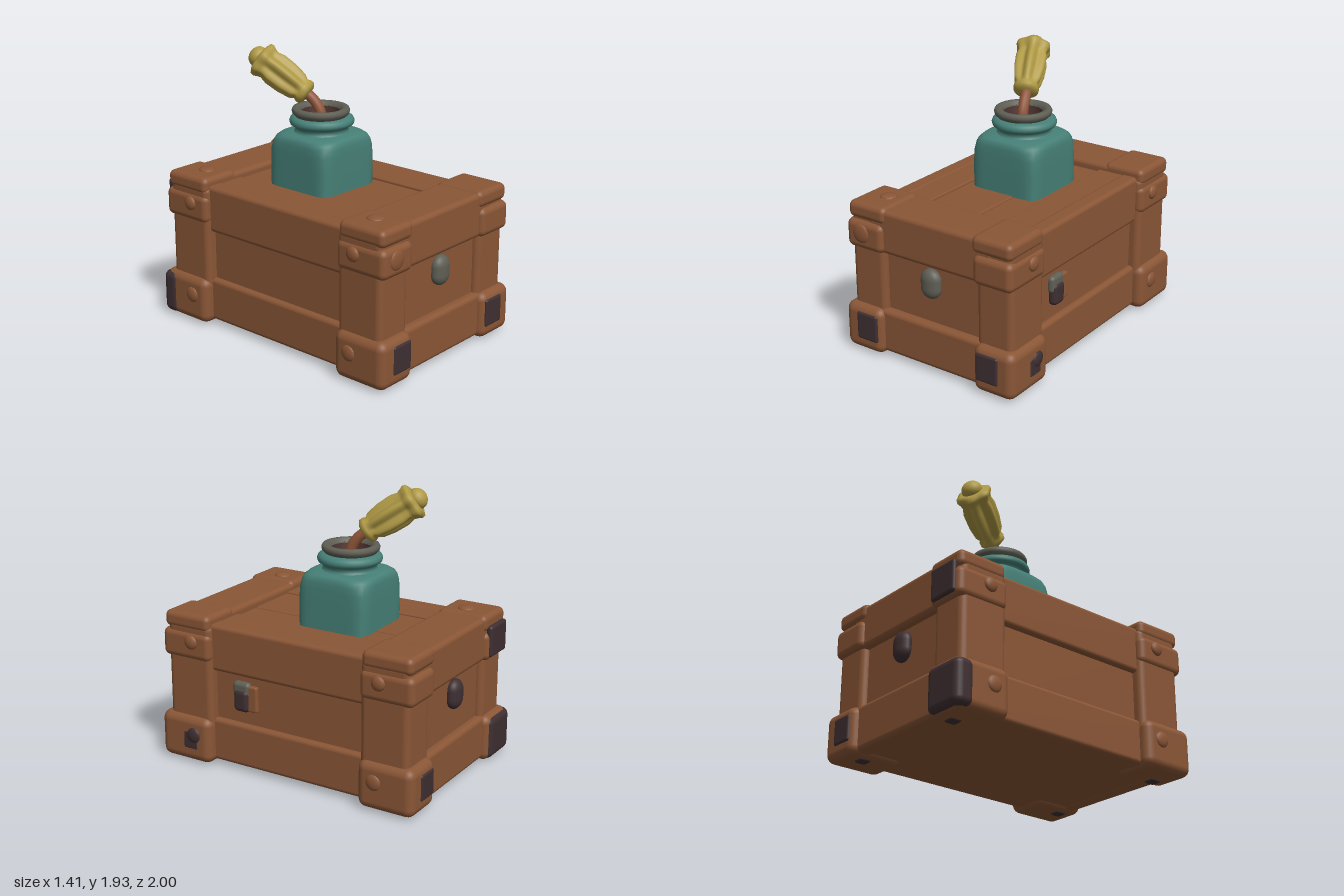
import * as THREE from 'three';
import { RoundedBoxGeometry } from 'three/addons/geometries/RoundedBoxGeometry.js';

const mat = (name, color, side = THREE.FrontSide) => {
  const m = new THREE.MeshStandardMaterial({ color, side });
  m.name = name;
  return m;
};

export function createModel() {
  const wood = mat('brown wood', 0x8a5636);
  const dark = mat('dark iron', 0x3f2f32);
  const grey = mat('grey metal', 0x5f5f55);
  const teal = mat('teal glass', 0x468077);
  const yellow = mat('yellow handle', 0xb09a45);
  const inside = mat('dark interior', 0x4c332f);
  const shaftMat = mat('copper shaft', 0x8f5539);

  const model = new THREE.Group();
  model.name = 'crateWithBottle';

  const add = (parent, name, geo, material, x = 0, y = 0, z = 0) => {
    const m = new THREE.Mesh(geo, material);
    m.name = name;
    m.position.set(x, y, z);
    parent.add(m);
    return m;
  };
  // Soft-edged box given by its limits
  const box = (parent, name, material, x0, x1, y0, y1, z0, z1, r = 0.03) => {
    const w = x1 - x0, h = y1 - y0, d = z1 - z0;
    const rr = Math.min(r, w * 0.49, h * 0.49, d * 0.49);
    return add(parent, name, new RoundedBoxGeometry(w, h, d, 3, rr), material,
      (x0 + x1) / 2, (y0 + y1) / 2, (z0 + z1) / 2);
  };
  // Skin over horizontal rings: point(ring, angle) gives [x, z]
  const loft = (rings, point, n = 64) => {
    const pos = [], idx = [];
    rings.forEach((ring, i) => {
      for (let j = 0; j < n; j++) {
        const [x, z] = point(ring, (j / n) * Math.PI * 2);
        pos.push(x, ring[0], z);
        if (i === rings.length - 1) continue;
        const a = i * n + j, b = i * n + (j + 1) % n;
        idx.push(a, a + n, b, a + n, b + n, b);
      }
    });
    const g = new THREE.BufferGeometry();
    g.setAttribute('position', new THREE.Float32BufferAttribute(pos, 3));
    g.setIndex(idx);
    g.computeVertexNormals();
    return g;
  };
  const lathe = (pts) => new THREE.LatheGeometry(pts.map((p) => new THREE.Vector2(...p)), 40);
  // Flattened dome facing out along a direction
  const stud = (parent, name, material, p, dir, r, depth) => {
    const g = new THREE.SphereGeometry(1, 16, 10);
    const m = add(parent, name, g, material, ...p);
    m.scale.set(r, r, depth);
    m.lookAt(p[0] + dir[0], p[1] + dir[1], p[2] + dir[2]);
    return m;
  };

  // ---- Crate ----
  const crate = new THREE.Group();
  crate.name = 'crate';
  model.add(crate);
  box(crate, 'crateCore', wood, -0.57, 0.57, 0.04, 0.96, -0.89, 0.89);
  // Lid planks
  [[-0.6, -0.3, 1.0], [-0.298, 0.088, 0.99], [0.09, 0.298, 0.985], [0.3, 0.6, 1.0]].forEach(([a, b, top]) =>
    box(crate, 'lidPlank', wood, a, b, 0.9, top, -0.85, 0.85, 0.012));

  for (const s of [-1, 1]) {
    const span = (a, b) => (s > 0 ? [a, b] : [-b, -a]);
    // Long side rails
    box(crate, 'sideTopRail', wood, ...span(0.48, 0.61), 0.68, 1.005, -0.85, 0.85);
    box(crate, 'sideBottomRail', wood, ...span(0.48, 0.61), 0.035, 0.34, -0.85, 0.85);
    // End rails
    box(crate, 'endTopRail', wood, -0.5, 0.5, 0.74, 1.045, ...span(0.59, 0.94), 0.035);
    box(crate, 'endBottomRail', wood, -0.5, 0.5, 0.03, 0.34, ...span(0.82, 0.945), 0.035);
    for (const t of [-1, 1]) {
      // Corner posts with caps
      const zs = (a, b) => (t > 0 ? [a, b] : [-b, -a]);
      box(crate, 'cornerPost', wood, ...span(0.37, 0.645), 0.03, 1.0, ...zs(0.58, 0.935), 0.045);
      box(crate, 'topCapLower', wood, ...span(0.36, 0.66), 0.74, 0.94, ...zs(0.58, 0.97), 0.045);
      box(crate, 'topCapUpper', wood, ...span(0.345, 0.65), 0.945, 1.06, ...zs(0.59, 0.955), 0.04);
      box(crate, 'bottomCap', wood, ...span(0.37, 0.685), 0.012, 0.34, ...zs(0.58, 0.99), 0.06);
      box(crate, 'footPad', dark, ...span(0.42, 0.5), 0, 0.05, ...zs(0.8, 0.88), 0.015);
      // Side studs
      stud(crate, 'topSideStud', wood, [s * 0.66, 0.87, t * 0.725], [s, 0, 0], 0.05, 0.025);
      const iron = s > 0 && t > 0;
      stud(crate, 'bottomSideStud', iron ? dark : wood, [s * 0.682, 0.21, t * 0.71], [s, 0, 0], 0.055, 0.022);
    }
    stud(crate, 'lidStud', wood, [-0.47, 1.058, s * 0.75], [0, 1, 0], 0.06, 0.02);
    // Worn iron patches on the front feet
    box(crate, 'frontFootPatch', dark, s * 0.49 - 0.085, s * 0.49 + 0.085, 0.1, 0.295, 0.965, 1.0, 0.016);
  }
  stud(crate, 'frontStud', wood, [-0.53, 0.855, 0.968], [0, 0, 1], 0.065, 0.018);
  box(crate, 'sideFootPatch', dark, 0.67, 0.69, 0.11, 0.23, 0.68, 0.79, 0.009);

  // Iron on the rear corners
  box(crate, 'rearFootPatch', dark, 0.41, 0.57, 0.1, 0.28, -1.0, -0.965, 0.016);
  box(crate, 'rearCornerFoot', dark, -0.695, -0.39, 0.02, 0.325, -1.0, -0.86, 0.05);
  box(crate, 'rearCornerTop', dark, -0.62, -0.39, 0.765, 0.985, -0.985, -0.94, 0.02);

  // Latches
  const latch = (name, material, x, z) => {
    const m = add(crate, name, new THREE.CapsuleGeometry(0.076, 0.055, 8, 20), material, x, 0.62, z);
    m.scale.z = 0.7;
    return m;
  };
  latch('frontLatch', grey, -0.005, 0.905);
  latch('rearLatch', dark, -0.02, -0.905);
  box(crate, 'sideLatchPlate', wood, 0.56, 0.6, 0.44, 0.62, 0.24, 0.38, 0.012);
  box(crate, 'sideLatchLower', dark, 0.55, 0.622, 0.43, 0.59, 0.3, 0.42, 0.035);
  box(crate, 'sideLatchUpper', grey, 0.55, 0.61, 0.52, 0.64, 0.295, 0.43, 0.03);

  // ---- Bottle ----
  const bottle = new THREE.Group();
  bottle.name = 'bottle';
  bottle.position.set(0, 0, -0.115);
  model.add(bottle);
  // Square body easing into a round shoulder: [height, half width, squareness]
  const squircle = ([, h, e], a) => {
    const c = Math.cos(a), s = Math.sin(a);
    const k = h / Math.pow(Math.abs(c) ** e + Math.abs(s) ** e, 1 / e);
    return [c * k, s * k];
  };
  add(bottle, 'bottleBody', loft([
    [0.97, 0.262, 9], [1.15, 0.263, 9], [1.25, 0.262, 8], [1.3, 0.26, 6], [1.33, 0.254, 4.5],
    [1.347, 0.24, 3.5], [1.355, 0.22, 2.6], [1.36, 0.17, 2],
  ], squircle), teal);
  add(bottle, 'bottleNeck', lathe([
    [0.2, 1.345], [0.182, 1.365], [0.178, 1.385], [0.195, 1.4], [0.214, 1.412], [0.22, 1.432],
    [0.212, 1.452], [0.19, 1.465], [0.15, 1.468],
  ]), teal);
  add(bottle, 'bottleRim', lathe([
    [0.15, 1.455], [0.172, 1.465], [0.192, 1.485], [0.196, 1.505], [0.188, 1.522], [0.165, 1.526],
    [0.142, 1.518], [0.132, 1.495],
  ]), grey, -0.01);
  add(bottle, 'bottleInside', lathe([[0.134, 1.5], [0.128, 1.45], [0.115, 1.41], [0, 1.4]]), inside, -0.01);

  // ---- Tool standing in the bottle ----
  const tool = new THREE.Group();
  tool.name = 'tool';
  model.add(tool);
  const path = new THREE.CatmullRomCurve3([
    [-0.01, 1.4, -0.1], [-0.015, 1.5, -0.12], [-0.03, 1.57, -0.165], [-0.06, 1.63, -0.24],
  ].map((p) => new THREE.Vector3(...p)));
  add(tool, 'toolShaft', new THREE.TubeGeometry(path, 16, 0.037, 12), shaftMat);

  const handle = new THREE.Group();
  handle.name = 'toolHandle';
  const from = new THREE.Vector3(-0.05, 1.605, -0.2), to = new THREE.Vector3(-0.19, 1.83, -0.5);
  handle.position.copy(from);
  handle.quaternion.setFromUnitVectors(new THREE.Vector3(0, 1, 0), to.clone().sub(from).normalize());
  tool.add(handle);
  // Fluted grip: [height, radius, flute depth]
  const fluted = ([, r, f], a) => {
    const k = r * (1 + f * Math.cos(6 * a));
    return [Math.cos(a) * k, Math.sin(a) * k];
  };
  add(handle, 'grip', loft([
    [-0.01, 0.002, 0], [-0.008, 0.06, 0], [0.01, 0.085, 0], [0.035, 0.087, 0], [0.055, 0.075, 0.06],
    [0.085, 0.088, 0.13], [0.17, 0.1, 0.15], [0.27, 0.103, 0.15], [0.32, 0.095, 0.12], [0.345, 0.105, 0.08],
    [0.37, 0.12, 0.06], [0.392, 0.117, 0.05], [0.405, 0.09, 0.03], [0.408, 0.002, 0],
  ], fluted, 72), yellow);
  const knob = add(handle, 'gripKnob', new THREE.SphereGeometry(0.072, 20, 14), yellow, 0, 0.415, 0);
  knob.scale.y = 0.85;

  return model;
}
